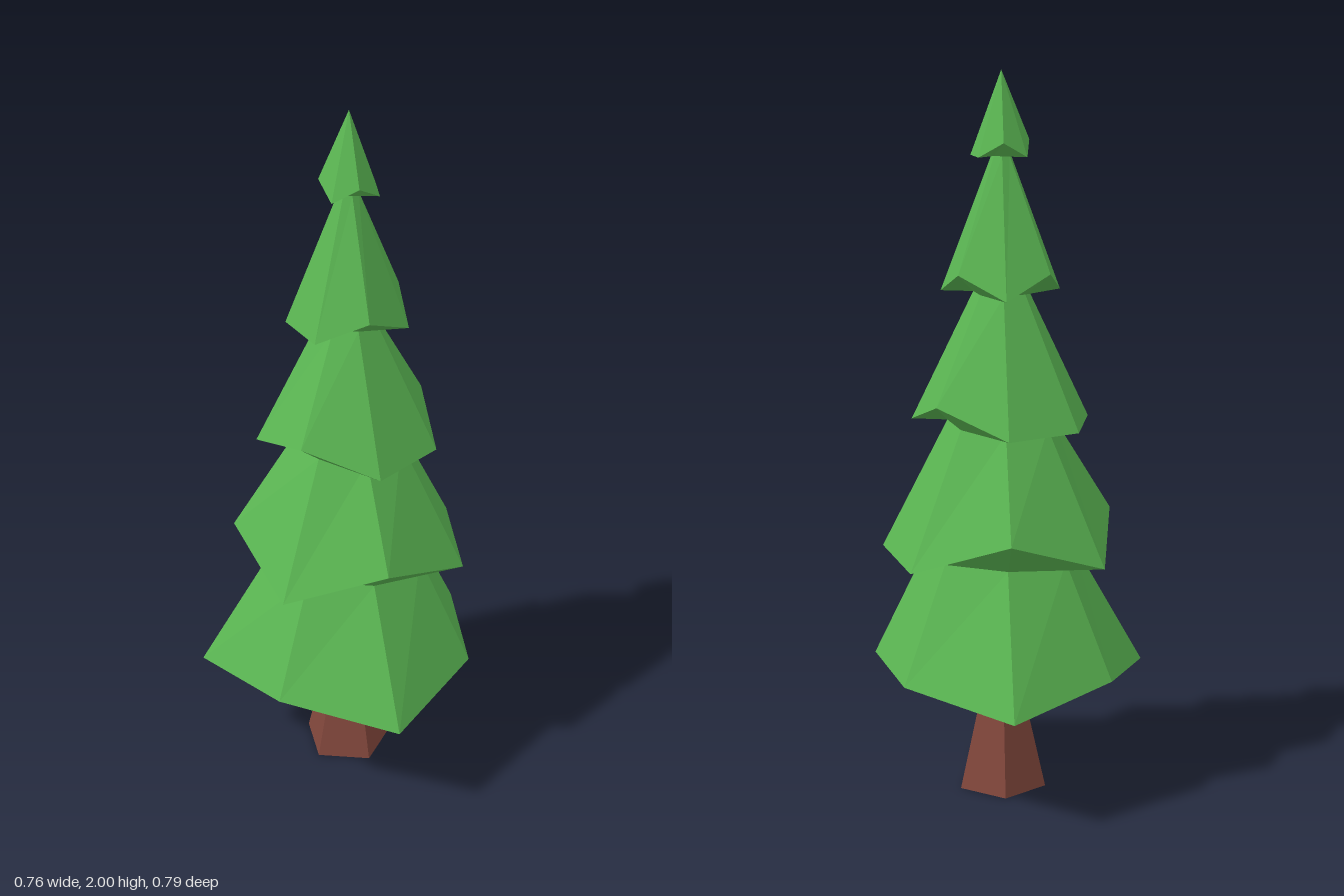
import * as THREE from 'three';

// Closed faceted skin over a chain of rings, bottom to top; each ring is [[radius, y], ...]
function skin(rings) {
  const n = rings[0].length;
  const pos = [];
  const point = ([r, y], i) => {
    const a = (i / n) * Math.PI * 2;
    return new THREE.Vector3(Math.sin(a) * r, y, -Math.cos(a) * r);
  };
  const tri = (a, b, c) => {
    if (a.distanceTo(b) < 1e-6 || b.distanceTo(c) < 1e-6 || c.distanceTo(a) < 1e-6) return;
    for (const p of [a, b, c]) pos.push(p.x, p.y, p.z);
  };
  for (let k = 0; k + 1 < rings.length; k++) {
    const [low, up] = [rings[k], rings[k + 1]];
    for (let i = 0; i < n; i++) {
      const j = (i + 1) % n;
      const [li, lj, ui, uj] = [point(low[i], i), point(low[j], j), point(up[i], i), point(up[j], j)];
      tri(lj, li, ui);
      tri(lj, ui, uj);
    }
  }
  const geo = new THREE.BufferGeometry();
  geo.setAttribute('position', new THREE.Float32BufferAttribute(pos, 3));
  geo.computeVertexNormals();
  return geo;
}

const ring = (n, r, y) => Array.from({ length: n }, () => [r, y]);

export function createModel() {
  const needles = new THREE.MeshStandardMaterial({ name: 'needle green', color: 0x5ab552, flatShading: true });
  const bark = new THREE.MeshStandardMaterial({ name: 'bark brown', color: 0x82473c, flatShading: true });

  const tree = new THREE.Group();
  tree.name = 'pineTree';

  // Five-sided trunk with a waist, flaring into the lowest tier
  const trunk = new THREE.Mesh(
    skin([ring(5, 0, 0), ring(5, 0.125, 0), ring(5, 0.056, 0.3), ring(5, 0.078, 0.5), ring(5, 0, 0.5)]), bark);
  trunk.name = 'trunk';
  tree.add(trunk);

  // Seven-sided tiers: the rim zigzags between drooping and raised corners
  const tiers = [
    { inner: [0.065, 0.49], droop: [0.415, 0.325], raise: [0.36, 0.371], raised: [1, 2, 4, 6], top: [0.21, 0.685] },
    { inner: [0.21, 0.685], droop: [0.334, 0.685], raise: [0.316, 0.782], raised: [0, 3, 5], top: [0.15, 1.05] },
    { inner: [0.15, 1.05], droop: [0.249, 1.05], raise: [0.237, 1.124], raised: [1, 4], top: [0.077, 1.408] },
    { inner: [0.077, 1.408], droop: [0.166, 1.408], raise: [0.157, 1.47], raised: [1, 3, 6], top: [0.027, 1.775] },
    { inner: [0.027, 1.775], droop: [0.083, 1.775], raise: [0.078, 1.815], raised: [0, 3, 5], top: [0, 2] },
  ];
  tiers.forEach(({ inner, droop, raise, raised, top }, t) => {
    const rim = ring(7, 0, 0).map((_, i) => (raised.includes(i) ? raise : droop));
    const tier = new THREE.Mesh(skin([ring(7, ...inner), rim, ring(7, ...top)]), needles);
    tier.name = `branchTier${t + 1}`;
    tree.add(tier);
  });

  // Centre the footprint
  tree.children.forEach((m) => m.position.set(0.024, 0, 0.02));
  return tree;
}
